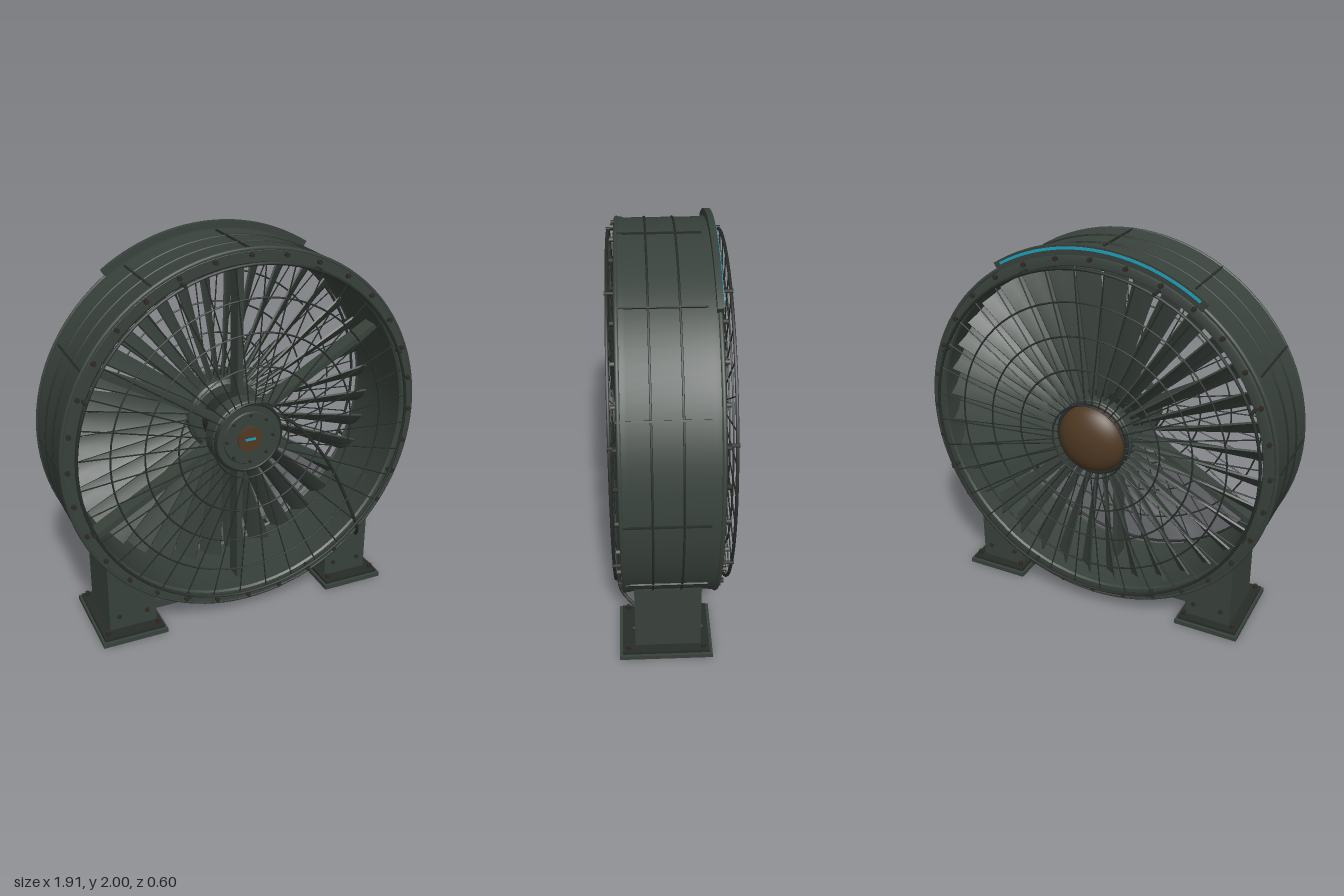
import * as THREE from 'three';
import { toCreasedNormals } from 'three/addons/utils/BufferGeometryUtils.js';

const mat = (name, color) => Object.assign(new THREE.MeshStandardMaterial({ color }), { name });

export function createModel() {
  const paint = mat('dark green grey paint', 0x38413b);
  const steel = mat('dark steel', 0x272c29);
  const bronze = mat('aged bronze', 0x4f3923);
  const boltMat = mat('brown bolts', 0x302a23);
  const glow = mat('cyan accent', 0x1c9fba);

  const model = new THREE.Group();
  model.name = 'ductFan';
  const fan = new THREE.Group();
  fan.name = 'fanAssembly';
  fan.position.y = 1.015;
  model.add(fan);

  const add = (parent, name, geo, material, x = 0, y = 0, z = 0) => {
    const m = new THREE.Mesh(geo, material);
    m.name = name;
    m.position.set(x, y, z);
    parent.add(m);
    return m;
  };
  // Profile of [radius, z] points turned about the fan axis
  const turned = (pts, seg = 96) => toCreasedNormals(
    new THREE.LatheGeometry(pts.map(p => new THREE.Vector2(...p)), seg).rotateX(Math.PI / 2), 0.6);
  const disc = (r, depth, seg = 48) => new THREE.CylinderGeometry(r, r, depth, seg).rotateX(Math.PI / 2);
  // Repeats parts around the axis; inside each pivot +y points outwards
  const around = (name, n, offset, fill) => {
    const set = new THREE.Group();
    set.name = name;
    fan.add(set);
    for (let i = 0; i < n; i++) {
      const pivot = new THREE.Group();
      pivot.name = name + 'Item';
      pivot.rotation.z = offset + (i / n) * Math.PI * 2;
      set.add(pivot);
      fill(pivot);
    }
  };
  const rad = THREE.MathUtils.degToRad;

  // Duct shell with rounded lips
  add(fan, 'ductShell', turned([
    [0.885, -0.212], [0.925, -0.214], [0.942, -0.205], [0.95, -0.185], [0.946, -0.16],
    [0.946, 0.21], [0.952, 0.225], [0.95, 0.245], [0.938, 0.255], [0.885, 0.255],
    [0.876, 0.245], [0.882, 0.225], [0.885, -0.19], [0.878, -0.2], [0.885, -0.212],
  ]), paint);
  for (const z of [0.245, -0.2])
    add(fan, 'lipRing', new THREE.TorusGeometry(0.945, 0.011, 8, 96), paint, 0, 0, z);
  for (const z of [0.108, -0.03])
    add(fan, 'shellBand', new THREE.TorusGeometry(0.947, 0.006, 6, 96), steel, 0, 0, z);
  const seam = new THREE.BoxGeometry(0.009, 0.012, 0.4);
  around('shellSeams', 12, 0, p => add(p, 'shellSeam', seam, steel, 0, 0.948, 0.05));

  // Flange bolts on both lips
  const bolt = disc(0.012, 0.024, 6);
  around('flangeBolts', 32, 0, p => {
    add(p, 'frontBolt', bolt, boltMat, 0, 0.922, 0.262);
    add(p, 'rearBolt', bolt, boltMat, 0, 0.922, -0.22);
  });

  // Twisted fan blades
  const r0 = 0.18, r1 = 0.872;
  const blade = new THREE.BoxGeometry(1, r1 - r0, 0.01, 2, 8, 1);
  const bp = blade.attributes.position;
  for (let i = 0; i < bp.count; i++) {
    const t = bp.getY(i) / (r1 - r0) + 0.5;
    const c = bp.getX(i) * (0.095 + 0.03 * t);
    const a = 1.22 - 0.47 * t;
    const d = bp.getZ(i) + 0.012 * (1 - 4 * bp.getX(i) ** 2);
    bp.setXYZ(i, c * Math.cos(a) + d * Math.sin(a), bp.getY(i), -c * Math.sin(a) + d * Math.cos(a));
  }
  blade.computeVertexNormals();
  const socket = new THREE.CylinderGeometry(0.012, 0.012, 0.04, 8);
  around('blades', 36, rad(-4), p => {
    add(p, 'blade', blade, paint, 0, (r0 + r1) / 2, -0.12);
    add(p, 'bladeSocket', socket, steel, 0, 0.21, -0.12);
  });

  // Six stator struts carrying the motor
  const strut = new THREE.BoxGeometry(0.03, 0.76, 0.09);
  around('struts', 6, 0, p => add(p, 'strut', strut, paint, 0, 0.51, 0.1));

  // Hub, motor and front cover
  add(fan, 'rotorHub', turned([[0, -0.205], [0.18, -0.205], [0.2, -0.19], [0.2, -0.05], [0.18, -0.03], [0, -0.03]], 48), paint);
  add(fan, 'motorBody', disc(0.135, 0.26), steel, 0, 0, 0.08);
  add(fan, 'motorCover', turned([[0, 0.13], [0.17, 0.13], [0.19, 0.15], [0.19, 0.235], [0.175, 0.252], [0.14, 0.252], [0.135, 0.26], [0, 0.26]], 48), paint);
  add(fan, 'coverRing', new THREE.TorusGeometry(0.178, 0.008, 8, 48), steel, 0, 0, 0.247);
  const smallBolt = disc(0.008, 0.02, 6);
  around('coverBolts', 8, 0, p => add(p, 'coverBolt', smallBolt, boltMat, 0, 0.125, 0.261));
  add(fan, 'bronzeCap', disc(0.066, 0.014), bronze, 0, 0, 0.264);
  add(fan, 'statusPlate', new THREE.BoxGeometry(0.055, 0.012, 0.004), glow, 0, 0, 0.273);

  // Bronze spinner dome at the rear
  const dome = [];
  for (let i = 0; i <= 12; i++) {
    const a = (i / 12) * Math.PI / 2;
    dome.push([0.182 * Math.sin(a), -0.205 - 0.1 * Math.cos(a)]);
  }
  add(fan, 'spinnerDome', turned(dome, 48), bronze);
  add(fan, 'spinnerRing', new THREE.TorusGeometry(0.188, 0.012, 8, 48), steel, 0, 0, -0.207);

  // Wire guards, front and rear
  const spoke = new THREE.CylinderGeometry(0.0035, 0.0035, 0.685, 5);
  const post = disc(0.009, 0.06, 8);
  for (const [side, z, s] of [['front', 0.288, 1], ['rear', -0.26, -1]]) {
    for (const r of [0.2, 0.385, 0.555, 0.725, 0.885])
      add(fan, side + 'GuardRing', new THREE.TorusGeometry(r, r > 0.8 ? 0.008 : 0.0045, 6, 72), steel, 0, 0, z);
    around(side + 'GuardSpokes', 36, rad(-4), p => add(p, 'spoke', spoke, steel, 0, 0.5425, z));
    around(side + 'GuardPosts', 8, rad(22.5), p => add(p, 'post', post, steel, 0, 0.892, z - s * 0.02));
  }

  // Arc plate on the rear top edge, with its accent strip
  const arc = (ri, ro, a0, a1, depth) => {
    const s = new THREE.Shape();
    s.absarc(0, 0, ro, rad(a0), rad(a1), false);
    s.absarc(0, 0, ri, rad(a1), rad(a0), true);
    return new THREE.ExtrudeGeometry(s, { depth, bevelEnabled: false, curveSegments: 40 });
  };
  add(fan, 'topArcPlate', arc(0.935, 0.985, 58, 126, 0.03), paint, 0, 0, -0.215);
  add(fan, 'accentStrip', arc(0.962, 0.975, 60, 124, 0.006), glow, 0, 0, -0.219);

  // Power cable from the motor down to the pedestal
  const cable = new THREE.CatmullRomCurve3([
    [0.15, 0.09, 0.2], [0.24, 0.04, 0.24], [0.36, -0.09, 0.25], [0.48, -0.27, 0.255],
    [0.58, -0.48, 0.262], [0.65, -0.66, 0.268], [0.69, -0.75, 0.2],
  ].map(p => new THREE.Vector3(...p)));
  add(fan, 'powerCable', new THREE.TubeGeometry(cable, 40, 0.009, 6), steel);

  // Pedestals shaped to the duct, on bolted base plates
  const ped = new THREE.Shape();
  ped.moveTo(0.5, 0.03);
  ped.lineTo(0.75, 0.03);
  ped.lineTo(0.75, 0.425);
  for (let i = 0; i <= 10; i++) {
    const x = 0.745 - 0.0245 * i;
    ped.lineTo(x, 1.015 - Math.sqrt(0.92 ** 2 - x * x));
  }
  const pedGeo = new THREE.ExtrudeGeometry(ped, { depth: 0.33, bevelEnabled: false });
  const anchor = new THREE.CylinderGeometry(0.012, 0.012, 0.03, 6);
  for (const s of [1, -1]) {
    const foot = new THREE.Group();
    foot.name = s > 0 ? 'leftFoot' : 'rightFoot';
    if (s < 0) foot.rotation.y = Math.PI;
    model.add(foot);
    const mid = 0.035 * s;
    add(foot, 'pedestal', pedGeo, paint, 0, 0, mid - 0.165);
    add(foot, 'basePlate', new THREE.BoxGeometry(0.345, 0.024, 0.47), paint, 0.6375, 0.012, 0.045 * s);
    add(foot, 'upperPlate', new THREE.BoxGeometry(0.32, 0.016, 0.44), steel, 0.6375, 0.032, 0.045 * s);
    for (const dx of [-0.135, 0.135]) for (const dz of [-0.19, 0.19])
      add(foot, 'anchorBolt', anchor, boltMat, 0.6375 + dx, 0.05, 0.045 * s + dz);
    for (const x of [0.55, 0.7]) for (const dz of [-0.165, 0.165])
      add(foot, 'pedestalBolt', bolt, boltMat, x, 0.115, mid + dz);
  }

  // Cross beam and saddle under the duct
  add(model, 'crossBeam', new THREE.BoxGeometry(1.02, 0.045, 0.14), paint, 0, 0.058, 0.035);
  add(model, 'saddle', new THREE.BoxGeometry(0.42, 0.04, 0.2), paint, 0, 0.066, 0.035);

  return model;
}
